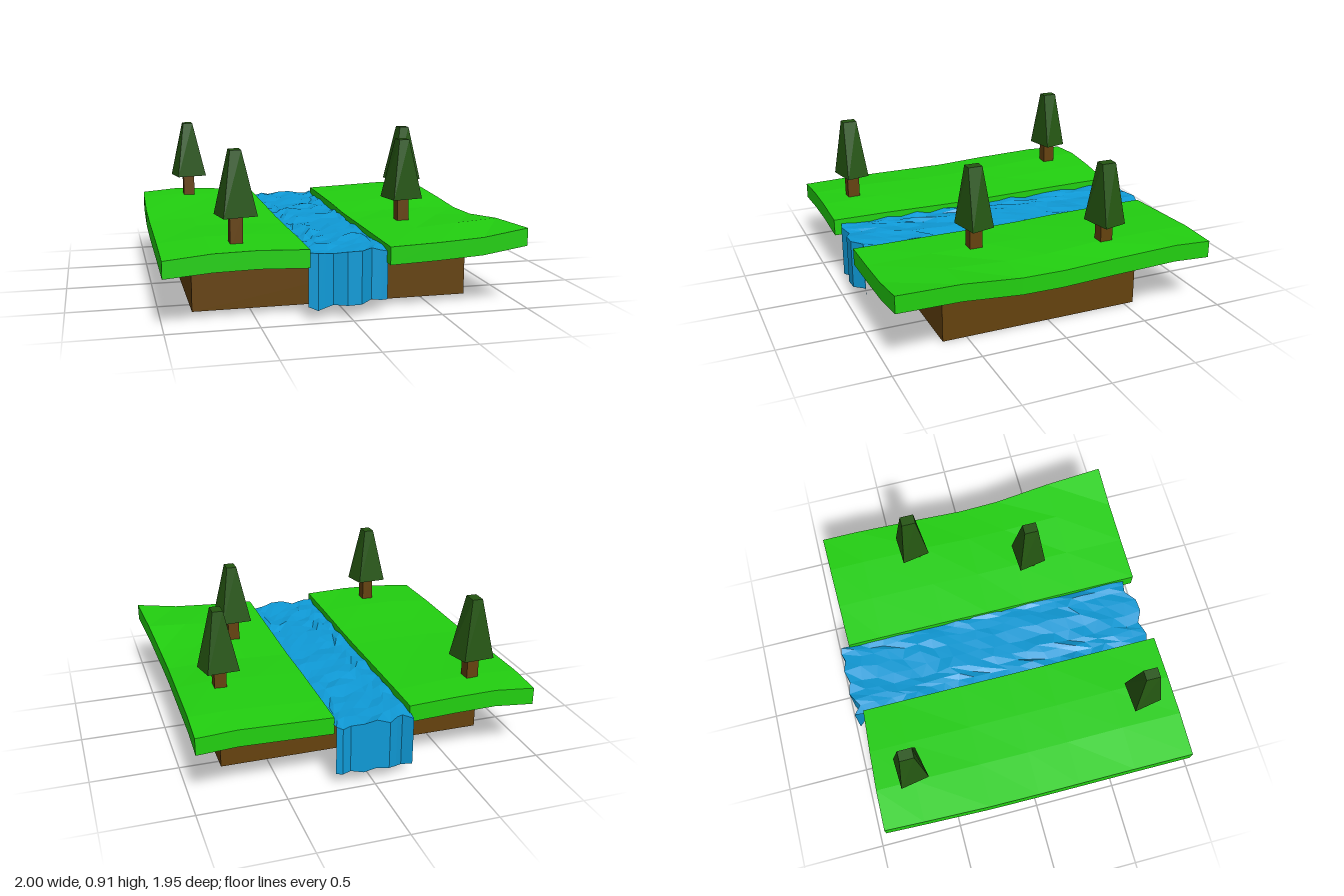
import * as THREE from 'three';
import { ConvexGeometry } from 'three/addons/geometries/ConvexGeometry.js';

const mat = (name, color, extra = {}) =>
  new THREE.MeshStandardMaterial({ name, color, flatShading: true, ...extra });

// repeatable noise in -1..1
const noise = (a, b) => {
  const s = Math.sin(a * 127.1 + b * 311.7) * 43758.5453;
  return 2 * (s - Math.floor(s)) - 1;
};

const Z_ROWS = [-0.92, -0.7, -0.3, 0, 0.25, 0.6, 0.97];

// Grass slab: a box whose top follows a height table (rows run back to front)
function hillGeometry(heights, xAt, zAt) {
  const geo = new THREE.BoxGeometry(3, 1, 6, 3, 1, 6);
  const p = geo.attributes.position;
  for (let i = 0; i < p.count; i++) {
    const c = Math.round(p.getX(i) + 1.5);
    const r = Math.round(p.getZ(i) + 3);
    const top = heights[r][c];
    const rim = c === 0 || c === 3 || r === 0 || r === 6;
    const bottom = rim ? Math.max(0.28, top - 0.1) : 0.28;
    p.setXYZ(i, xAt(c, r), p.getY(i) > 0 ? top : bottom, zAt(c, r));
  }
  geo.computeVertexNormals();
  return geo;
}

// Water: one folded sheet, falling over the back, running forward, falling over the front
function waterGeometry() {
  const xs = [-0.23, -0.18, -0.14, -0.09, -0.02, 0.06, 0.13, 0.18, 0.215];
  const back = [-0.97, -0.925, -0.95, -0.975, -0.955, -0.975, -0.955, -0.97, -0.96];
  const front = [0.925, 0.94, 0.93, 0.915, 0.95, 0.945, 0.89, 0.9, 0.91];
  const low = [0.07, 0.05, 0.06, 0.07, 0.07, 0.07, 0.08, 0.075, 0.08];
  const rows = 22;
  const geo = new THREE.PlaneGeometry(1, 1, 8, rows);
  const p = geo.attributes.position;
  for (let i = 0; i < p.count; i++) {
    const c = i % 9;
    const r = Math.floor(i / 9);
    const t = THREE.MathUtils.clamp((r - 1) / (rows - 2), 0, 1);
    const inner = t > 0 && t < 1;
    const fall = r === 0 || r === rows;
    const x = xs[c] + (inner ? 0.012 * noise(c, r) : 0);
    const z = THREE.MathUtils.lerp(back[c], front[c], t) + (inner ? 0.02 * noise(r, c + 9) : 0);
    const y = fall ? low[c] : 0.36 + 0.011 * noise(c + 3, r + 5);
    p.setXYZ(i, x, y, z);
  }
  geo.computeVertexNormals();
  return geo;
}

// Tree crown: skewed four-sided frustum
function crownGeometry() {
  const foot = [[-0.105, -0.08], [0.08, -0.09], [0.114, 0.05], [-0.075, 0.09]];
  const tip = [[-0.03, -0.042], [0.03, -0.042], [0.03, 0.042], [-0.03, 0.042]];
  return new ConvexGeometry([
    ...foot.map(([x, z]) => new THREE.Vector3(x, 0, z)),
    ...tip.map(([x, z]) => new THREE.Vector3(x, 0.355, z)),
  ]);
}

export function createModel() {
  const grass = mat('grass green', 0x22d010);
  const earth = mat('earth brown', 0x65420e);
  const leaf = mat('dark leaf green', 0x245511);
  const water = mat('water blue', 0x0f9bd8, { side: THREE.DoubleSide });

  const model = new THREE.Group();
  model.name = 'riverLandscape';
  const add = (name, geo, material, x = 0, y = 0, z = 0, parent = model) => {
    const mesh = new THREE.Mesh(geo, material);
    mesh.name = name;
    mesh.position.set(x, y, z);
    parent.add(mesh);
    return mesh;
  };

  // Earth block
  add('earthBase', new THREE.BoxGeometry(1.59, 0.29, 1.2), earth, -0.025, 0.145, 0.04);

  // Grass banks
  const rightBank = [
    [0.41, 0.43, 0.42, 0.40],
    [0.415, 0.43, 0.42, 0.40],
    [0.40, 0.41, 0.405, 0.395],
    [0.385, 0.40, 0.40, 0.39],
    [0.385, 0.40, 0.40, 0.39],
    [0.385, 0.41, 0.41, 0.395],
    [0.375, 0.40, 0.405, 0.395],
  ];
  const leftBank = [
    [0.40, 0.41, 0.42, 0.41],
    [0.40, 0.415, 0.425, 0.42],
    [0.395, 0.41, 0.42, 0.405],
    [0.385, 0.395, 0.40, 0.39],
    [0.385, 0.40, 0.40, 0.395],
    [0.385, 0.40, 0.42, 0.435],
    [0.385, 0.395, 0.41, 0.45],
  ];
  const rightX = [-0.99, -0.74, -0.5, -0.23];
  const rightBack = [-0.94, -0.935, -0.925, -0.91];
  const leftX = [0.21, 0.48, 0.74, 0.96];
  const leftEdge = [0.97, 0.965, 0.96, 0.955, 0.96, 0.98, 1.0];
  add('rightGrassBank', hillGeometry(rightBank,
    (c, r) => (c === 0 ? -0.98 - 0.02 * Math.min(1, r / 2) : rightX[c]),
    (c, r) => (r === 0 ? rightBack[c] : Z_ROWS[r])), grass);
  add('leftGrassBank', hillGeometry(leftBank,
    (c, r) => (c === 3 ? leftEdge[r] : leftX[c]),
    (c, r) => (r === 0 ? -0.91 - 0.005 * c : Z_ROWS[r])), grass);

  // River with both waterfalls
  add('riverAndFalls', waterGeometry(), water);

  // Trees: x, z and height of the crown's foot
  const crown = crownGeometry();
  const trunk = new THREE.BoxGeometry(0.07, 0.2, 0.075);
  const spots = [
    [-0.69, -0.7, 0.555],
    [0.72, -0.37, 0.53],
    [0.48, 0.335, 0.53],
    [-0.59, 0.755, 0.55],
  ];
  spots.forEach(([x, z, y], i) => {
    const tree = new THREE.Group();
    tree.name = `tree${i + 1}`;
    tree.position.set(x, y, z);
    model.add(tree);
    add('trunk', trunk, earth, 0, -0.08, 0, tree);
    add('crown', crown, leaf, 0, 0, 0, tree);
  });

  return model;
}
